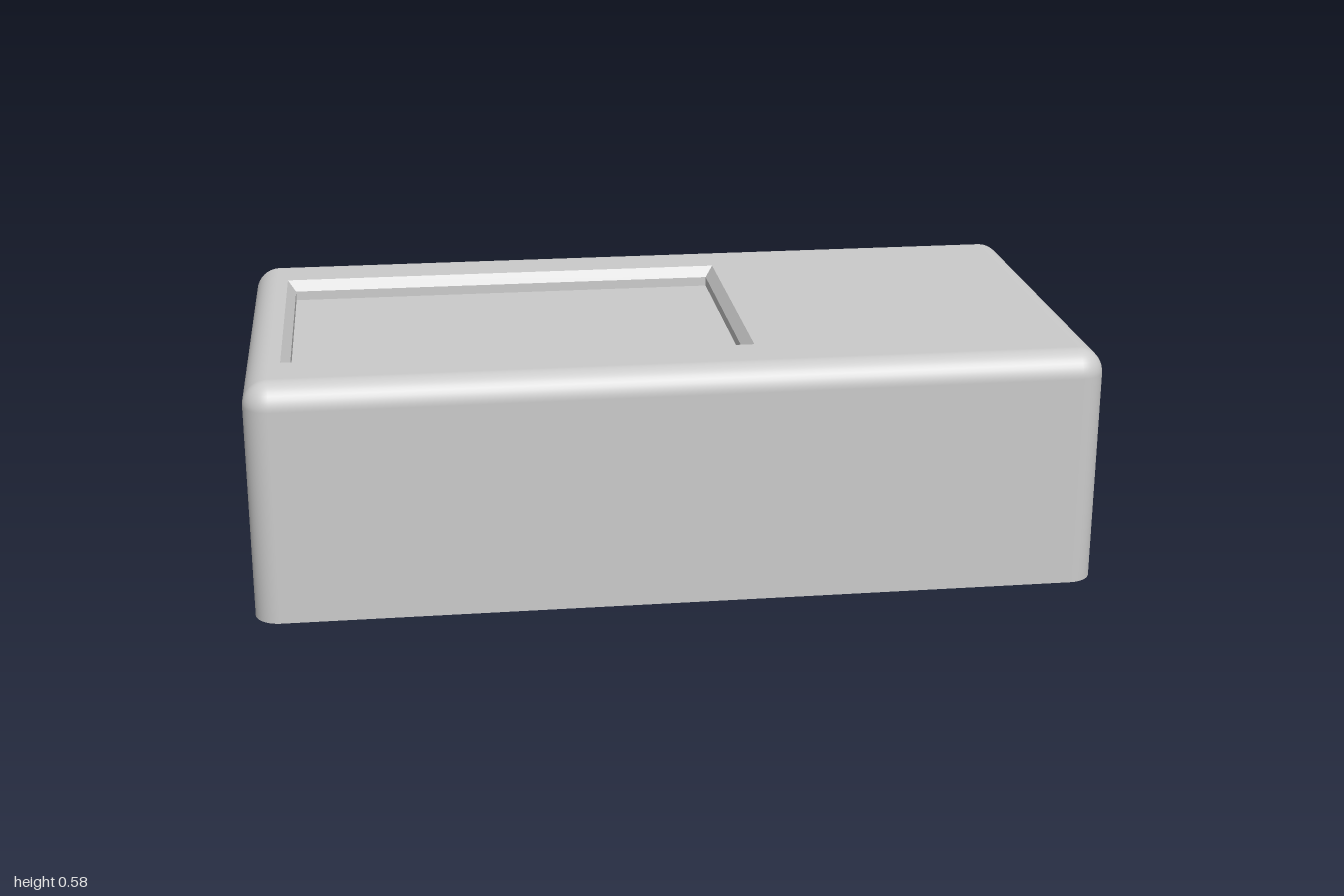
import * as THREE from 'three';

const HX = 1, HZ = 0.51, H = 0.577, R = 0.06; // half width, half depth, height, edge radius
const SEG = 10;

// Outline of the rounded footprint: a core corner plus a direction per point
function footprint() {
  const pts = [];
  for (let q = 0; q < 4; q++) {
    const sx = q === 0 || q === 3 ? 1 : -1, sz = q < 2 ? 1 : -1;
    for (let i = 0; i <= SEG; i++) {
      const a = (q + i / SEG) * Math.PI / 2;
      pts.push({ cx: sx * (HX - R), cz: sz * (HZ - R), dx: Math.cos(a), dz: Math.sin(a) });
    }
  }
  return pts;
}

// Straight sides rolling over into the rounded top edge
function shellGeometry() {
  const outline = footprint(), n = outline.length;
  const levels = [{ y: 0, b: 0 }];
  for (let i = 0; i <= SEG; i++) {
    const b = i / SEG * Math.PI / 2;
    levels.push({ y: H - R + R * Math.sin(b), b });
  }
  const pos = [], nor = [], idx = [];
  for (const { y, b } of levels) {
    const c = Math.cos(b);
    for (const p of outline) {
      pos.push(p.cx + p.dx * R * c, y, p.cz + p.dz * R * c);
      nor.push(p.dx * c, Math.sin(b), p.dz * c);
    }
  }
  for (let j = 0; j < levels.length - 1; j++) {
    for (let i = 0; i < n; i++) {
      const k = (i + 1) % n, lo = j * n, up = lo + n;
      idx.push(lo + k, lo + i, up + i, lo + k, up + i, up + k);
    }
  }
  const g = new THREE.BufferGeometry();
  g.setAttribute('position', new THREE.Float32BufferAttribute(pos, 3));
  g.setAttribute('normal', new THREE.Float32BufferAttribute(nor, 3));
  g.setIndex(idx);
  return g;
}

// Rectangle corners at height y
const rect = ({ x0, x1, z0, z1 }, y) => [[x1, y, z1], [x0, y, z1], [x0, y, z0], [x1, y, z0]];

// Four flat walls facing inward between two rectangles
function wallGeometry(upper, lower) {
  const pos = [];
  for (let i = 0; i < 4; i++) {
    const k = (i + 1) % 4;
    pos.push(...lower[i], ...lower[k], ...upper[i], ...lower[k], ...upper[k], ...upper[i]);
  }
  const g = new THREE.BufferGeometry();
  g.setAttribute('position', new THREE.Float32BufferAttribute(pos, 3));
  g.computeVertexNormals();
  return g;
}

export function createModel() {
  const group = new THREE.Group();
  const material = new THREE.MeshStandardMaterial({ color: 0xcccccc });
  const add = (name, geometry) => {
    const mesh = new THREE.Mesh(geometry, material);
    mesh.name = name;
    group.add(mesh);
    return mesh;
  };

  const rim = { x0: -0.915, x1: 0.19, z0: -0.34, z1: 0.335 };
  const inner = { x0: -0.895, x1: 0.17, z0: -0.32, z1: 0.315 };
  const bevelY = H - 0.025, floorY = H - 0.048;

  add('bodyShell', shellGeometry());

  // Flat top with the opening for the recess
  const toShape = (r) => rect(r, 0).map(([x, , z]) => new THREE.Vector2(x, -z));
  const top = new THREE.Shape(toShape({ x0: R - HX, x1: HX - R, z0: R - HZ, z1: HZ - R }));
  top.holes.push(new THREE.Path(toShape(rim)));
  add('topPanel', new THREE.ShapeGeometry(top).rotateX(-Math.PI / 2)).position.y = H;

  // Underside
  const base = new THREE.Shape(footprint().map(p => new THREE.Vector2(p.cx + p.dx * R, p.cz + p.dz * R)));
  add('underside', new THREE.ShapeGeometry(base).rotateX(Math.PI / 2));

  // Recess: sloped rim, short upright wall and flat floor
  add('recessBevel', wallGeometry(rect(rim, H), rect(inner, bevelY)));
  add('recessWall', wallGeometry(rect(inner, bevelY), rect(inner, floorY)));
  const floor = new THREE.PlaneGeometry(inner.x1 - inner.x0, inner.z1 - inner.z0).rotateX(-Math.PI / 2);
  add('recessFloor', floor).position.set((inner.x0 + inner.x1) / 2, floorY, (inner.z0 + inner.z1) / 2);

  return group;
}
